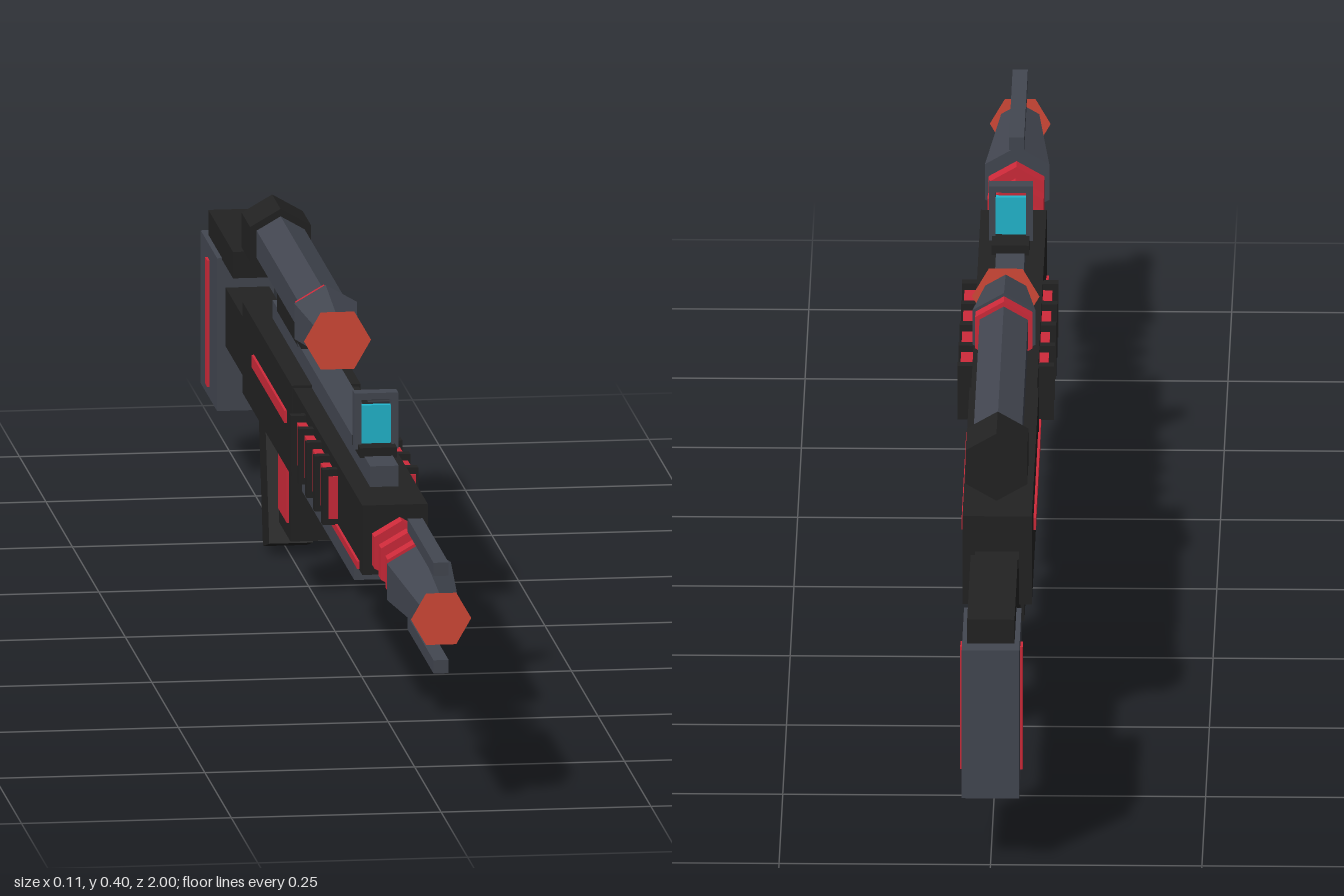
import * as THREE from 'three';

const mat = (name, color, extra = {}) => {
  const m = new THREE.MeshStandardMaterial({ color, flatShading: true, ...extra });
  m.name = name;
  return m;
};

export function createModel() {
  const black = mat('black', 0x222222);
  const grey = mat('slate grey', 0x434751);
  const red = mat('red', 0xcf2a3a);
  const orange = mat('lens orange', 0xd64a38, { side: THREE.DoubleSide });
  const cyan = mat('sight cyan', 0x22b8d0);
  const model = new THREE.Group();

  const add = (name, geometry, material) => {
    const mesh = new THREE.Mesh(geometry, material);
    mesh.name = name;
    model.add(mesh);
    return mesh;
  };
  // Box given by its limits on each axis
  const box = (name, m, x0, x1, y0, y1, z0, z1) => {
    const mesh = add(name, new THREE.BoxGeometry(x1 - x0, y1 - y0, z1 - z0), m);
    mesh.position.set((x0 + x1) / 2, (y0 + y1) / 2, (z0 + z1) / 2);
    return mesh;
  };
  // Box centred on x
  const bar = (name, m, half, y0, y1, z0, z1) => box(name, m, -half, half, y0, y1, z0, z1);
  // Six-sided tube along z, from back z0 to front z1
  const hex = (name, m, y, z0, z1, rBack, rFront = rBack) => {
    const g = new THREE.CylinderGeometry(rFront, rBack, z1 - z0, 6).rotateX(Math.PI / 2);
    add(name, g, m).position.set(0, y, (z0 + z1) / 2);
  };
  const lens = (name, r, y, z) => add(name, new THREE.CircleGeometry(r, 6), orange).position.set(0, y, z);

  // Muzzle and barrel
  const by = 0.234;
  hex('muzzle', grey, by, 0.79, 0.998, 0.044, 0.026);
  lens('muzzleLens', 0.036, by, 1);
  bar('upperMuzzleFin', grey, 0.009, 0.286, 0.302, 0.755, 1);
  bar('lowerMuzzleFin', grey, 0.009, 0.168, 0.184, 0.755, 1);
  hex('barrel', black, by, 0.55, 0.8, 0.018);
  for (const z of [0.745, 0.683, 0.62]) hex('barrelRing', red, by, z - 0.011, z + 0.011, 0.038);

  // Body
  bar('foreBody', black, 0.039, 0.193, 0.277, -0.1, 0.565);
  bar('receiver', black, 0.041, 0.17, 0.28, -0.55, -0.085);
  bar('topRail', grey, 0.017, 0.27, 0.302, -0.455, 0.465);
  bar('underRail', grey, 0.036, 0.165, 0.195, -0.03, 0.465);

  // Side panels, ribs and stripes
  for (const s of [-1, 1]) {
    const side = (name, m, a, b, ...rest) =>
      box(name, m, Math.min(s * a, s * b), Math.max(s * a, s * b), ...rest);
    side('sidePanel', red, 0.037, s > 0 ? 0.054 : 0.05, 0.211, 0.262, 0.03, 0.336);
    for (const z of [0.326, 0.251, 0.176, 0.101, 0.028]) {
      side('panelRib', black, 0.037, 0.057, 0.203, 0.27, z - 0.007, z + 0.007);
    }
    side('foreStripe', red, 0.037, 0.042, 0.195, 0.204, -0.085, 0.54);
    side('receiverStripe', red, 0.038, 0.044, 0.225, 0.24, -0.44, -0.13);
    side('magazinePlate', red, 0.026, 0.031, 0.086, 0.166, -0.293, -0.212);
    side('stockStripe', red, 0.032, 0.037, 0.097, 0.25, -0.935, -0.915);
  }

  // Magazine and raked grip
  bar('magazine', black, 0.028, 0.066, 0.175, -0.31, -0.2);
  const grip = add('grip', new THREE.BoxGeometry(0.052, 0.18, 0.062), black);
  grip.position.set(0, 0.095, -0.469);
  grip.rotation.x = -0.26;

  // Stock
  bar('stockArm', black, 0.026, 0.165, 0.236, -0.828, -0.54);
  bar('stock', grey, 0.034, 0.083, 0.268, -1, -0.845);
  bar('cheekRest', black, 0.028, 0.266, 0.298, -0.975, -0.742);

  // Front sight: open frame with a glass pane
  bar('sightBase', black, 0.022, 0.3, 0.312, 0.335, 0.41);
  for (const s of [-1, 1]) {
    box('sightPost', grey, s * 0.022 - 0.004, s * 0.022 + 0.004, 0.306, 0.374, 0.37, 0.39);
  }
  bar('sightTop', grey, 0.018, 0.366, 0.374, 0.37, 0.39);
  bar('sightGlass', cyan, 0.018, 0.311, 0.358, 0.376, 0.384);

  // Scope
  const sy = 0.357;
  bar('scopeMount', black, 0.017, 0.298, 0.335, -0.415, -0.185);
  hex('scopeHood', grey, sy, -0.09, 0.02, 0.043, 0.028);
  lens('scopeLens', 0.04, sy, 0.022);
  hex('scopeRing', red, sy, -0.11, -0.09, 0.039);
  hex('scopeTube', grey, sy, -0.52, -0.105, 0.033);
  hex('scopeEyepiece', black, sy, -0.595, -0.515, 0.042);

  return model;
}
